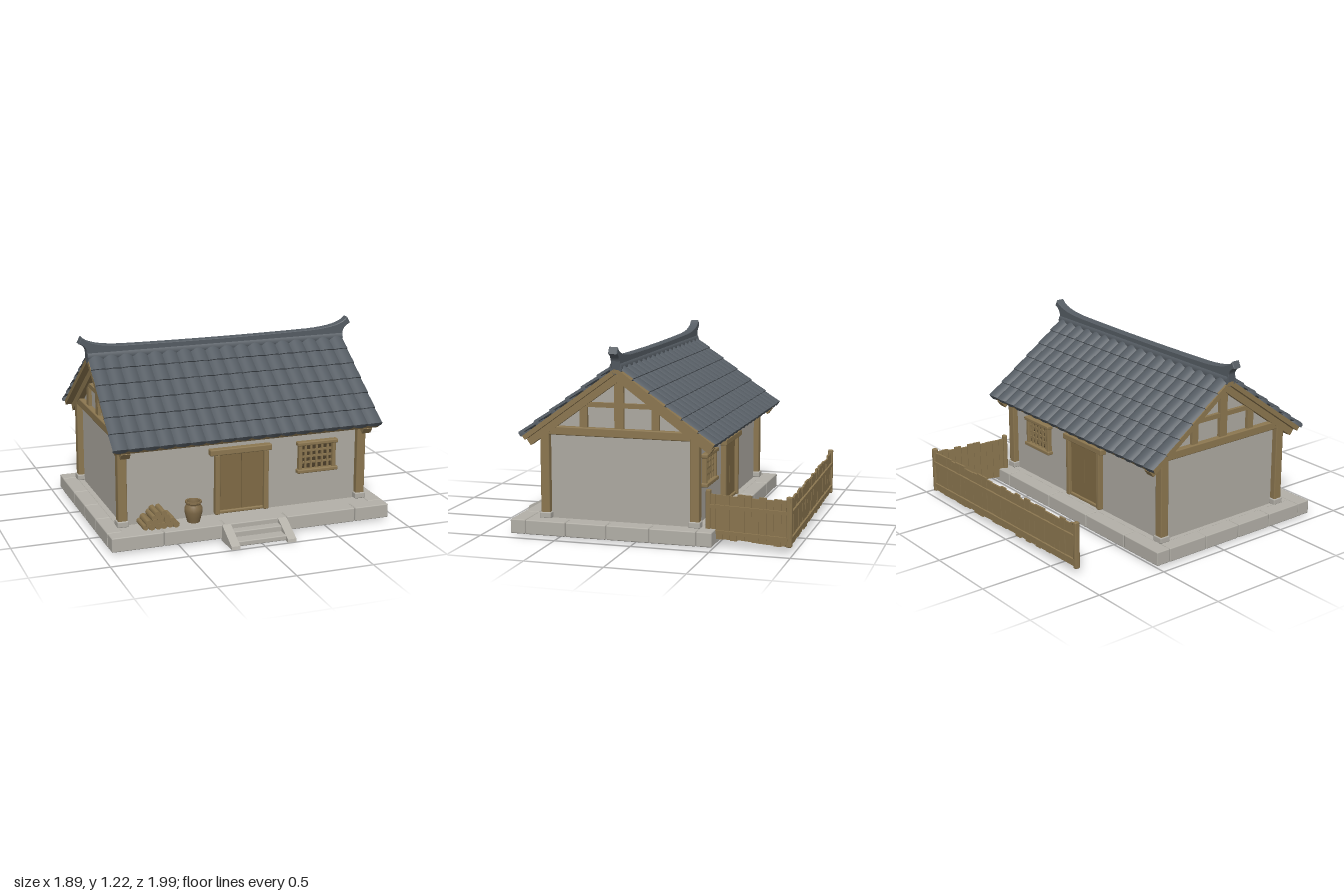
import * as THREE from 'three';
import { toCreasedNormals } from 'three/addons/utils/BufferGeometryUtils.js';
import { RoundedBoxGeometry } from 'three/addons/geometries/RoundedBoxGeometry.js';

const mat = (name, color, side = THREE.FrontSide) => {
  const m = new THREE.MeshStandardMaterial({ color, side });
  m.name = name;
  return m;
};

export function createModel() {
  const tile = mat('slate tile', 0x555c63, THREE.DoubleSide);
  const wood = mat('timber', 0x8c7750);
  const doorWood = mat('door timber', 0x806b45);
  const plaster = mat('plaster', 0xaeaaa2);
  const stone = mat('stone', 0xb3b0a8);
  const clay = mat('clay', 0x7f6a48, THREE.DoubleSide);
  const dark = mat('dark recess', 0x4a3d28);

  const model = new THREE.Group();
  model.name = 'cottage';
  let seed = 7;
  const rand = () => (seed = (seed * 16807) % 2147483647) / 2147483647;

  const add = (parent, name, geo, material, x = 0, y = 0, z = 0) => {
    const m = new THREE.Mesh(geo, material);
    m.name = name;
    m.position.set(x, y, z);
    parent.add(m);
    return m;
  };
  const box = (parent, name, material, w, h, d, x, y, z) =>
    add(parent, name, new THREE.BoxGeometry(w, h, d), material, x, y, z);
  const block = (parent, name, material, w, h, d, x, y, z) =>
    add(parent, name, new RoundedBoxGeometry(w, h, d, 1, 0.007), material, x, y, z);
  const group = (name, x = 0, y = 0, z = 0, turn = 0) => {
    const g = new THREE.Group();
    g.name = name;
    g.position.set(x, y, z);
    g.rotation.y = turn;
    model.add(g);
    return g;
  };

  const ZC = 0.126;          // ridge line of the house
  const SLOPE = 0.629;       // roof pitch in radians
  const SA = Math.sin(SLOPE), CA = Math.cos(SLOPE);

  // Stone platform: core and edging blocks
  const base = group('platform');
  box(base, 'platformCore', stone, 1.85, 0.086, 1.29, 0, 0.057, 0.16);
  const course = (cuts, place) => {
    for (let i = 0; i < cuts.length - 1; i++) place((cuts[i] + cuts[i + 1]) / 2, cuts[i + 1] - cuts[i] - 0.004);
  };
  for (const z of [0.77, -0.45])
    course([-0.94, -0.6, -0.2, 0.22, 0.7, 0.94], (x, w) =>
      block(base, 'edgeStone', stone, w, 0.093, 0.1, x, 0.0585, z));
  for (const x of [-0.89, 0.89])
    course([-0.4, -0.1, 0.18, 0.45, 0.72], (z, d) =>
      block(base, 'edgeStone', stone, 0.1, 0.093, d, x, 0.0585, z));

  // Front steps between sloping cheek stones
  const steps = group('steps');
  const cheek = new THREE.Shape([[0.81, 0], [0.995, 0], [0.99, 0.02], [0.82, 0.105], [0.81, 0.105]]
    .map(([z, y]) => new THREE.Vector2(-z, y)));
  const cheekGeo = new THREE.ExtrudeGeometry(cheek, { depth: 0.058, bevelEnabled: false });
  cheekGeo.rotateY(Math.PI / 2);
  for (const x of [-0.22, 0.157]) add(steps, 'cheekStone', cheekGeo, stone, x, 0, 0);
  block(steps, 'lowerStep', stone, 0.33, 0.034, 0.14, -0.002, 0.02, 0.89);
  block(steps, 'upperStep', stone, 0.33, 0.07, 0.07, -0.002, 0.038, 0.845);

  // Plaster walls with gables
  const house = group('house', 0, 0, ZC);
  const wall = new THREE.Shape([[-0.483, 0.1], [0.483, 0.1], [0.483, 0.69], [0, 1.045], [-0.483, 0.69]]
    .map(p => new THREE.Vector2(...p)));
  const wallGeo = new THREE.ExtrudeGeometry(wall, { depth: 1.61, bevelEnabled: false });
  wallGeo.rotateY(Math.PI / 2).translate(-0.805, 0, 0);
  add(house, 'walls', wallGeo, plaster);

  // Timber frame
  for (const sx of [-1, 1]) {
    for (const sz of [-1, 1]) {
      block(house, 'cornerPost', wood, 0.06, 0.56, 0.06, sx * 0.815, 0.4, sz * 0.491);
      block(house, 'postStone', stone, 0.075, 0.04, 0.075, sx * 0.815, 0.122, sz * 0.491);
      box(house, 'shortPost', wood, 0.045, 0.14, 0.05, sx * 0.805, 0.765, sz * 0.235);
      // rafter running just under the roof deck
      const s0 = 0.385;
      const r = box(house, 'gableRafter', wood, 0.06, 0.045, 0.74, sx * 0.815,
        1.05 - s0 * SA - 0.022 * CA, sz * (s0 * CA - 0.022 * SA));
      r.rotation.x = sz * SLOPE;
    }
    block(house, 'gableBeam', wood, 0.06, 0.055, 0.95, sx * 0.812, 0.67, 0);
    box(house, 'gablePost', wood, 0.05, 0.34, 0.06, sx * 0.805, 0.86, 0);
    box(house, 'collarBeam', wood, 0.045, 0.03, 0.5, sx * 0.806, 0.843, 0);
  }
  for (const sz of [-1, 1]) block(house, 'eaveBeam', wood, 1.68, 0.05, 0.05, 0, 0.665, sz * 0.49);

  // Tiled roof: each course is a rippled strip with a raised lower lip
  const LEN = 0.775, ROWS = 6, COLS = 18;
  const courseGeo = row => {
    const g = new THREE.PlaneGeometry(1.8, 1, COLS * 8, 2);
    const p = g.attributes.position;
    for (let i = 0; i < p.count; i++) {
      const x = p.getX(i), v = p.getY(i);
      const ripple = Math.pow(Math.abs(Math.sin((x / 1.8 + 0.5) * COLS * Math.PI)), 0.8);
      const s = (row + (v > 0.25 ? 0 : 1)) * LEN / ROWS + (v > 0.25 ? 0 : 0.012 * ripple);
      const h = v < -0.25 ? 0 : 0.008 + 0.02 * ripple + (v > 0.25 ? 0 : 0.009);
      p.setXYZ(i, x * (0.985 + 0.02 * s / LEN), 1.088 - s * SA + h * CA, s * CA + h * SA);
    }
    return toCreasedNormals(g, 0.7);
  };
  const courses = Array.from({ length: ROWS }, (_, i) => courseGeo(i));
  for (const turn of [0, Math.PI]) {
    const side = group('roofSlope', 0, 0, ZC, turn);
    courses.forEach(g => add(side, 'tileCourse', g, tile));
    const s = LEN / 2;
    box(side, 'roofDeck', wood, 1.775, 0.03, LEN - 0.005, 0, 1.088 - s * SA - 0.015 * CA, s * CA - 0.015 * SA)
      .rotation.x = SLOPE;
  }

  // Ridge with upturned ends
  const ridge = new THREE.Shape();
  ridge.moveTo(-0.885, 1.08);
  ridge.lineTo(0.885, 1.08);
  ridge.lineTo(0.89, 1.13);
  ridge.quadraticCurveTo(0.9, 1.165, 0.94, 1.18);
  ridge.lineTo(0.922, 1.215);
  ridge.quadraticCurveTo(0.88, 1.155, 0.65, 1.147);
  ridge.quadraticCurveTo(0, 1.135, -0.65, 1.147);
  ridge.quadraticCurveTo(-0.88, 1.155, -0.922, 1.215);
  ridge.lineTo(-0.94, 1.18);
  ridge.quadraticCurveTo(-0.9, 1.165, -0.89, 1.13);
  const ridgeGeo = new THREE.ExtrudeGeometry(ridge,
    { depth: 0.05, bevelSize: 0.004, bevelThickness: 0.004, bevelSegments: 1, curveSegments: 8 });
  add(model, 'ridge', ridgeGeo, tile, 0, 0, ZC - 0.025);
  add(model, 'ridgeCap', new THREE.CylinderGeometry(0.042, 0.042, 1.775, 10).rotateZ(Math.PI / 2), tile, 0, 1.085, ZC);

  // Doors and lattice windows on both long walls
  for (const s of [1, -1]) {
    const turn = s > 0 ? 0 : Math.PI, z = ZC + s * 0.483;
    const door = group('door', -0.017, 0, z, turn);
    for (const sx of [-1, 1]) {
      box(door, 'doorLeaf', doorWood, 0.15, 0.39, 0.024, sx * 0.0765, 0.305, 0);
      block(door, 'doorJamb', wood, 0.034, 0.4, 0.06, sx * 0.166, 0.305, 0.005);
    }
    box(door, 'doorGap', dark, 0.31, 0.39, 0.012, 0, 0.305, 0);
    block(door, 'doorSill', wood, 0.3, 0.022, 0.05, 0, 0.117, 0);
    block(door, 'doorLintel', wood, 0.42, 0.04, 0.08, -0.01 * s, 0.525, 0.005);

    const win = group('window', 0.507, 0.425, z, turn);
    box(win, 'windowRecess', dark, 0.24, 0.18, 0.008, 0, 0, 0);
    for (const sy of [-1, 1]) block(win, 'windowRail', wood, 0.285, 0.026, 0.07, 0, sy * 0.093, 0.005);
    for (const sx of [-1, 1]) block(win, 'windowStile', wood, 0.026, 0.19, 0.055, sx * 0.118, 0, 0.003);
    for (let i = -2; i <= 2; i++) box(win, 'latticeBar', wood, 0.013, 0.17, 0.03, i * 0.039, 0, 0.002);
    for (let i = -1; i <= 1; i++) box(win, 'latticeBar', wood, 0.22, 0.013, 0.026, 0, i * 0.04, 0.002);
  }

  // Clay jar
  const jar = [[0, 0], [0.04, 0], [0.048, 0.03], [0.058, 0.07], [0.057, 0.095], [0.045, 0.115],
    [0.046, 0.122], [0.054, 0.128], [0.053, 0.138], [0.042, 0.138], [0.038, 0.12], [0.04, 0.07], [0, 0.06]]
    .map(p => new THREE.Vector2(...p));
  add(model, 'jar', toCreasedNormals(new THREE.LatheGeometry(jar, 20), 0.6), clay, -0.367, 0.105, 0.695);

  // Stacked firewood
  const pile = group('firewood', -0.6, 0, 0.69);
  [6, 5, 3, 2].forEach((n, row) => {
    for (let i = 0; i < n; i++) {
      const r = 0.018 + rand() * 0.005;
      add(pile, 'log', new THREE.CylinderGeometry(r, r, 0.13 + rand() * 0.02, 7).rotateX(Math.PI / 2), wood,
        (i - (n - 1) / 2) * 0.04 + (rand() - 0.5) * 0.008, 0.125 + row * 0.026, (rand() - 0.5) * 0.015);
    }
  });

  // Plank fence behind the house; rails on the outer side
  const fence = (name, x0, z0, x1, z1, count) => {
    const len = Math.hypot(x1 - x0, z1 - z0);
    const f = group(name, x0, 0, z0, -Math.atan2(z1 - z0, x1 - x0));
    const w = len / count;
    for (let i = 0; i < count; i++) {
      const bottom = 0.035 + rand() * 0.015, top = 0.315 + rand() * 0.02;
      box(f, 'plank', wood, w - 0.002, top - bottom, 0.012, (i + 0.5) * w, (top + bottom) / 2, (rand() - 0.5) * 0.004);
    }
    for (const y of [0.09, 0.25]) box(f, 'fenceRail', wood, len, 0.022, 0.014, len / 2, y, 0.011);
    for (const x of [0, len]) block(f, 'fencePost', wood, 0.03, 0.31, 0.035, x, 0.195, 0);
  };
  fence('backFence', 0.9, -0.973, -0.69, -0.938, 30);
  fence('sideFence', 0.822, -0.45, 0.9, -0.97, 11);

  return model;
}
